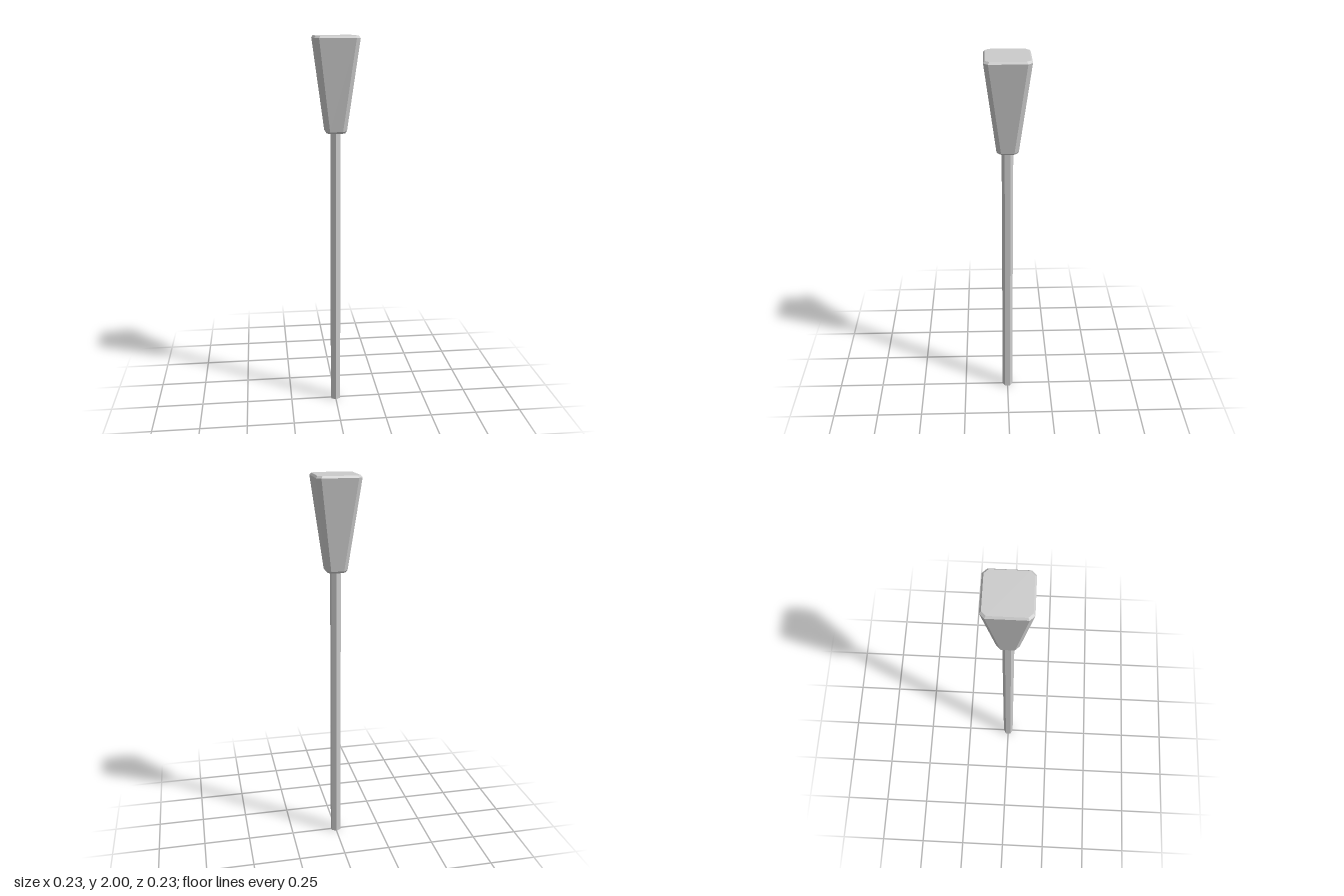
import * as THREE from 'three';

// Octagon ring: a square of half-width h with its corners cut back to f, anticlockwise from above
function ring(y, h, f) {
  return [[h, f], [h, -f], [f, -h], [-f, -h], [-h, -f], [-h, f], [-f, h], [f, h]]
    .map(([x, z]) => new THREE.Vector3(x, y, z));
}

// Closed solid lofted through rings, bottom to top
function loft(rings) {
  const points = [];
  const n = rings[0].length;
  for (let r = 0; r < rings.length - 1; r++) {
    for (let i = 0; i < n; i++) {
      const j = (i + 1) % n;
      const [a, b, c, d] = [rings[r][i], rings[r][j], rings[r + 1][j], rings[r + 1][i]];
      points.push(a, b, c, a, c, d);
    }
  }
  const bottom = rings[0];
  const top = rings[rings.length - 1];
  for (let i = 1; i < n - 1; i++) {
    points.push(bottom[0], bottom[i + 1], bottom[i], top[0], top[i], top[i + 1]);
  }
  const geometry = new THREE.BufferGeometry().setFromPoints(points);
  geometry.computeVertexNormals();
  return geometry;
}

export function createModel() {
  const group = new THREE.Group();
  group.name = 'taperedMallet';
  const material = new THREE.MeshStandardMaterial({ color: 0xcccccc, flatShading: true });

  // Hexagonal shaft, open at its ends
  const shaft = new THREE.Mesh(new THREE.CylinderGeometry(0.029, 0.029, 1.525, 6, 1, true), material);
  shaft.position.y = 1.525 / 2;
  shaft.name = 'shaft';

  // Flared head with cut corners and bevelled ends
  const head = new THREE.Mesh(loft([
    ring(1.52, 0.047, 0.029),
    ring(1.53, 0.055, 0.033),
    ring(1.99, 0.113, 0.091),
    ring(2.0, 0.105, 0.085),
  ]), material);
  head.name = 'head';

  group.add(shaft, head);
  return group;
}
